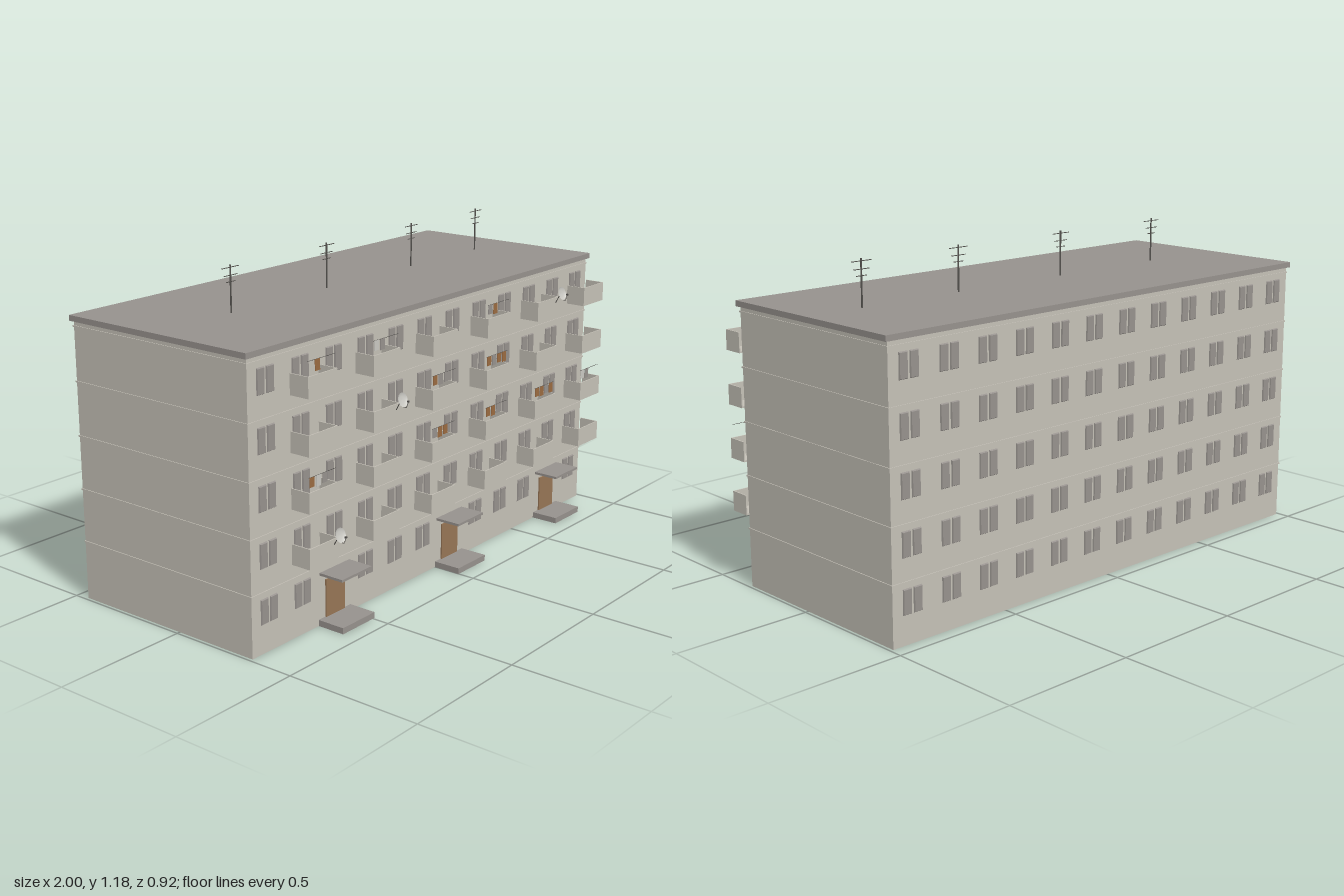
import * as THREE from 'three';

export function createModel() {
  const root = new THREE.Group();
  root.name = 'apartmentBlock';

  const mat = (name, color) => {
    const m = new THREE.MeshStandardMaterial({ color });
    m.name = name;
    return m;
  };
  const wall = mat('concrete wall', 0xc4c0b6);
  const grey = mat('grey slab and glass', 0x96918d);
  const wood = mat('brown door', 0x967555);
  const metal = mat('dark metal', 0x55534f);
  const rust = mat('brown laundry', 0x9a6a40);
  const pale = mat('pale laundry and dish', 0xc9c8c2);
  pale.side = THREE.DoubleSide;

  const add = (name, geo, material, x, y, z, parent = root) => {
    const m = new THREE.Mesh(geo, material);
    m.name = name;
    m.position.set(x, y, z);
    parent.add(m);
    return m;
  };
  // Box given by its limits on each axis
  const box = (name, material, x0, x1, y0, y1, z0, z1, parent = root) =>
    add(name, new THREE.BoxGeometry(x1 - x0, y1 - y0, z1 - z0), material,
      (x0 + x1) / 2, (y0 + y1) / 2, (z0 + z1) / 2, parent);
  // Thin round bar between two points
  const bar = (name, material, a, b, r, parent = root) => {
    const path = new THREE.LineCurve3(new THREE.Vector3(...a), new THREE.Vector3(...b));
    return add(name, new THREE.TubeGeometry(path, 1, r, 6), material, 0, 0, 0, parent);
  };

  const FRONT = 0.33, BACK = -0.451, STOREY = 0.192, PITCH = 0.1647;
  const columnX = i => (i - 5.5) * PITCH;

  // Main block, storey seams and roof slab
  box('body', wall, -0.988, 0.988, 0, 1.0, BACK, FRONT);
  for (let f = 1; f <= 5; f++) {
    const y = 0.021 + f * STOREY;
    box('storeySeam', wall, -0.991, 0.991, y - 0.003, y + 0.003, BACK - 0.003, FRONT + 0.003);
  }
  box('roofSlab', grey, -1, 1, 1.0, 1.02, -0.46, 0.34);

  // Window pane with its outer face drawn in to make a bevelled rim
  const pane = new THREE.BoxGeometry(0.036, 0.09, 0.006);
  const p = pane.attributes.position;
  for (let i = 0; i < p.count; i++) {
    if (p.getZ(i) > 0) p.setXY(i, p.getX(i) * 0.85, p.getY(i) * 0.92);
  }
  pane.computeVertexNormals();

  const doorColumns = [2, 6, 10];
  for (let f = 0; f < 5; f++) {
    for (let i = 0; i < 12; i++) {
      for (const s of [-1, 1]) {
        const x = columnX(i) + s * 0.022, y = 0.147 + f * STOREY;
        if (f > 0 || !doorColumns.includes(i)) add('frontWindow', pane, grey, x, y, FRONT + 0.002);
        add('backWindow', pane, grey, x, y, BACK - 0.002).rotation.y = Math.PI;
      }
    }
  }

  // Entrances: door, step and canopy
  for (const i of doorColumns) {
    const x = columnX(i);
    box('door', wood, x - 0.049, x + 0.049, 0.02, 0.158, FRONT - 0.002, FRONT + 0.005);
    box('doorStep', grey, x - 0.084, x + 0.084, 0, 0.022, FRONT - 0.01, 0.436);
    box('canopy', grey, x - 0.078, x + 0.078, 0.181, 0.19, FRONT - 0.01, 0.428);
  }

  // Open-topped balcony
  const balconyX = b => columnX(1 + 2 * b) + 0.022;
  const balconyTop = f => 0.143 + f * STOREY;
  const addBalcony = (x, top) => {
    const g = new THREE.Group();
    g.name = 'balcony';
    root.add(g);
    const w = 0.0715, t = 0.004, y0 = top - 0.072, z1 = 0.407;
    box('balconyFloor', wall, x - w, x + w, y0, y0 + 0.006, FRONT, z1, g);
    box('balconyFront', wall, x - w, x + w, y0, top, z1 - t, z1, g);
    for (const s of [-1, 1]) {
      const c = x + s * (w - t / 2);
      box('balconySide', wall, c - t / 2, c + t / 2, y0, top, FRONT, z1 - t, g);
    }
  };
  for (let f = 1; f < 5; f++) for (let b = 0; b < 6; b++) addBalcony(balconyX(b), balconyTop(f));

  // Laundry: [floor, balcony, row]; r brown, g grey, p pale, - empty
  const cloth = { r: rust, g: grey, p: pale };
  const laundry = [
    [2, 0, 'rpg'], [2, 2, 'grr'], [2, 3, 'rrg'], [2, 4, 'rrgr'], [2, 5, 'pg'],
    [3, 2, 'rgg'], [3, 3, 'rgrr'], [4, 0, '-r'], [4, 1, 'pg'], [4, 3, 'gr'],
  ];
  for (const [f, b, row] of laundry) {
    const x = balconyX(b), y = balconyTop(f) + 0.048;
    bar('laundryLine', metal, [x - 0.068, y, 0.4], [x + 0.068, y, 0.4], 0.0008);
    [...row].forEach((c, k) => {
      if (c === '-') return;
      const cx = x - 0.05 + k * 0.032, drop = 0.034 + 0.004 * (k % 2);
      box('laundry', cloth[c], cx - 0.012, cx + 0.012, y - drop, y, 0.399, 0.401);
    });
  }

  // Satellite dishes on balcony rails
  const bowl = new THREE.LatheGeometry([[0, 0], [0.012, 0.001], [0.02, 0.003], [0.025, 0.006]]
    .map(([r, h]) => new THREE.Vector2(r, h)), 20);
  for (const [f, b] of [[1, 0], [3, 1], [4, 4]]) {
    const g = new THREE.Group();
    g.name = 'satelliteDish';
    g.position.set(balconyX(b) + 0.05, balconyTop(f), 0);
    root.add(g);
    add('dishBowl', bowl, pale, 0, 0.018, 0.429, g).rotation.x = Math.PI / 2 - 0.32;
    bar('dishMount', metal, [0, -0.02, 0.407], [0, 0.018, 0.428], 0.0015, g);
    bar('dishArm', metal, [0, -0.005, 0.438], [0, -0.005, 0.45], 0.001, g);
    bar('dishArmTip', metal, [0, -0.005, 0.45], [0, 0.018, 0.458], 0.001, g);
    box('receiver', metal, -0.003, 0.003, 0.015, 0.021, 0.454, 0.46, g);
  }

  // Roof aerials
  for (const x of [-0.64, -0.145, 0.353, 0.775]) {
    const g = new THREE.Group();
    g.name = 'aerial';
    g.position.set(x, 0, -0.06);
    root.add(g);
    bar('mast', metal, [0, 1.015, 0], [0, 1.185, 0], 0.003, g);
    [[1.175, 0.042], [1.148, 0.033], [1.126, 0.023]].forEach(([y, h]) =>
      bar('crossbar', metal, [-h, y, 0], [h, y, 0], 0.0015, g));
  }

  return root;
}
